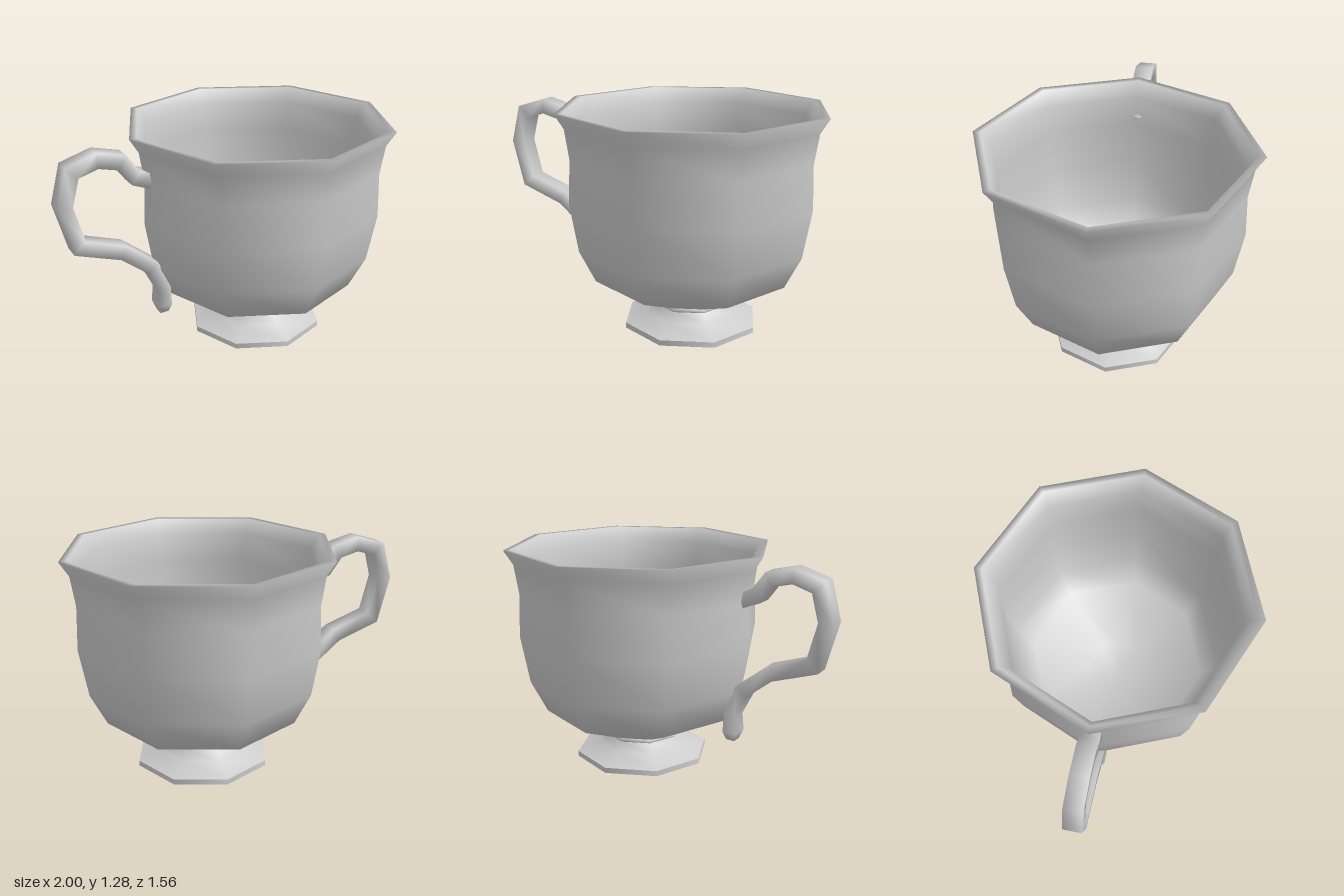
import * as THREE from 'three';

const SIDES = 8;
const AXIS_X = 0.215; // centre line of the bowl and foot

export function createModel() {
  const porcelain = new THREE.MeshStandardMaterial({ color: 0xcccccc });
  porcelain.name = 'porcelain';
  const cup = new THREE.Group();
  cup.name = 'cup';

  const add = (name, geometry) => {
    const mesh = new THREE.Mesh(geometry, porcelain);
    mesh.name = name;
    cup.add(mesh);
    return mesh;
  };
  // Eight-sided turned part, profile given as [radius, height]
  const turned = (name, profile) => {
    const points = profile.map(([r, y]) => new THREE.Vector2(r, y));
    add(name, new THREE.LatheGeometry(points, SIDES)).position.x = AXIS_X;
  };

  // Bowl: outside wall up to the flared flat lip, then down the inside
  turned('bowl', [
    [0.22, 0.155], [0.574, 0.312], [0.667, 0.5], [0.715, 0.78], [0.705, 1.03],
    [0.73, 1.2], [0.782, 1.283], [0.74, 1.283], [0.69, 1.2], [0.674, 1.03],
    [0.672, 0.78], [0.625, 0.52], [0.53, 0.35], [0.18, 0.2], [0, 0.19],
  ]);

  // Foot: underside, rim band, flare and neck ring
  turned('footUnderside', [[0, 0], [0.4, 0]]);
  turned('footBand', [[0.4, 0], [0.4, 0.032]]);
  turned('footFlare', [[0.4, 0.032], [0.265, 0.08], [0.222, 0.135]]);
  turned('neckRing', [[0.222, 0.132], [0.235, 0.145], [0.22, 0.158]]);

  // Handle: centre line as [x, y, thickness scale], from the bowl to the free tip
  add('handle', handleGeometry([
    [-0.465, 1.045, 1], [-0.555, 1.08, 1], [-0.63, 1.18, 1], [-0.765, 1.213, 1],
    [-0.908, 1.168, 1], [-0.958, 0.98, 1], [-0.893, 0.737, 1], [-0.645, 0.655, 1],
    [-0.48, 0.525, 1], [-0.41, 0.37, 0.88], [-0.412, 0.26, 1], [-0.41, 0.21, 0.6],
  ], 0.042, 0.052));

  return cup;
}

// Mitred rectangular sections swept along a path in the xy plane, closed at both ends
function handleGeometry(path, halfWidth, halfDepth) {
  const corners = [[1, -1], [1, 1], [-1, 1], [-1, -1]];
  const count = corners.length;
  const centres = path.map(([x, y]) => new THREE.Vector2(x, y));
  const last = centres.length - 1;
  const positions = [];
  const index = [];
  centres.forEach((c, i) => {
    const before = c.clone().sub(centres[Math.max(i - 1, 0)]).normalize();
    const after = centres[Math.min(i + 1, last)].clone().sub(c).normalize();
    const tangent = before.clone().add(after).normalize();
    const mitre = 1 / tangent.dot(i < last ? after : before);
    const scale = path[i][2];
    for (const [u, v] of corners) {
      const w = u * halfWidth * mitre * scale;
      positions.push(c.x - tangent.y * w, c.y + tangent.x * w, v * halfDepth * scale);
    }
  });
  for (let i = 0; i < last; i++) {
    for (let k = 0; k < count; k++) {
      const a = i * count + k;
      const b = i * count + ((k + 1) % count);
      index.push(a, b, a + count, b, b + count, a + count);
    }
  }
  // End caps
  const end = last * count;
  index.push(0, 2, 1, 0, 3, 2, end, end + 1, end + 2, end, end + 2, end + 3);
  const geometry = new THREE.BufferGeometry();
  geometry.setAttribute('position', new THREE.Float32BufferAttribute(positions, 3));
  geometry.setIndex(index);
  geometry.computeVertexNormals();
  return geometry;
}
